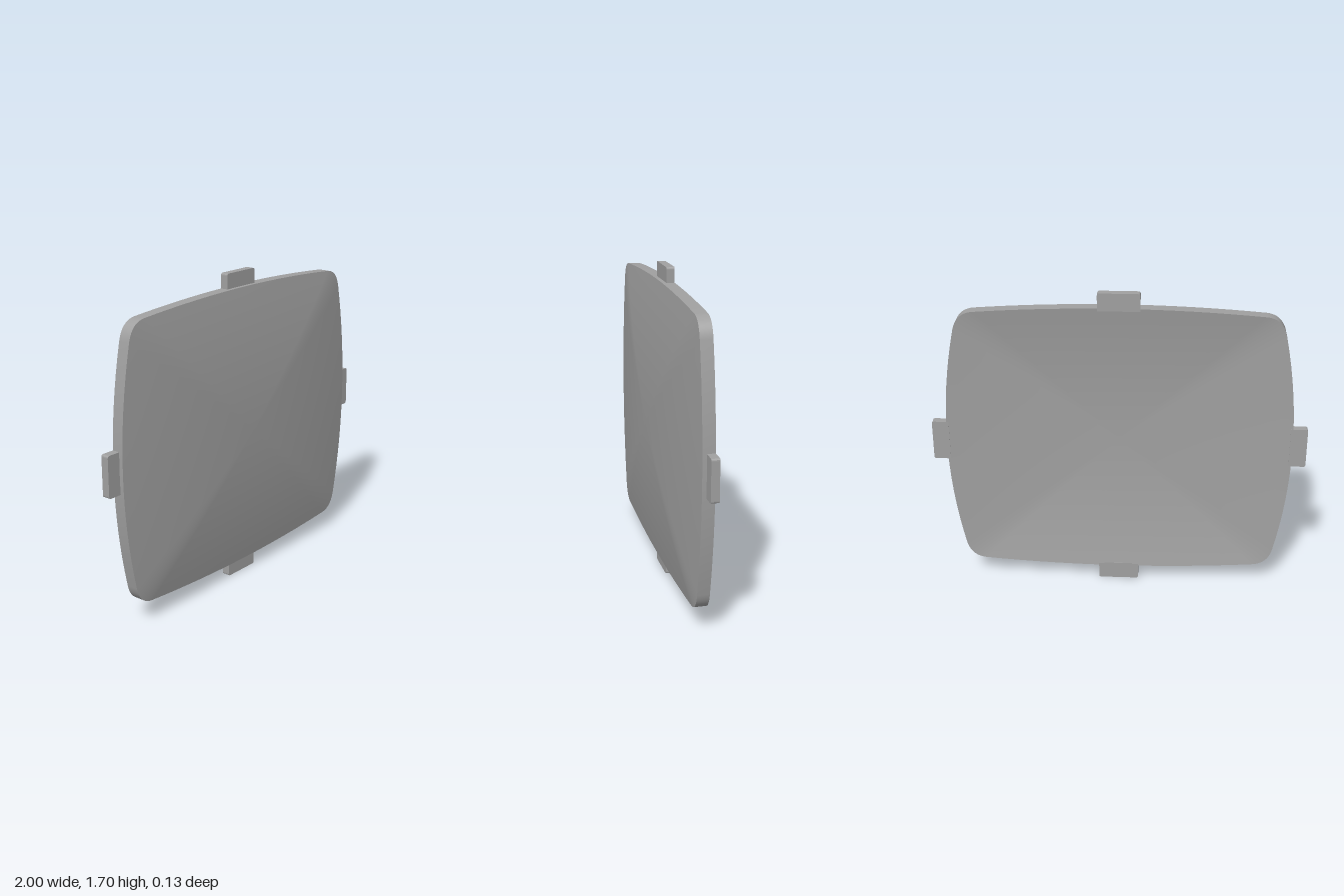
import * as THREE from 'three';

const CENTER_Y = 0.85;
const DEPTH = 0.065; // rim thickness, and also the height of the bulge

// Bulging rectangle with softened corners, counter-clockwise
function panelOutline() {
  const s = new THREE.Shape();
  s.moveTo(0.855, -0.636);
  s.quadraticCurveTo(0.995, 0, 0.855, 0.636);
  s.quadraticCurveTo(0.834, 0.731, 0.749, 0.739);
  s.quadraticCurveTo(0, 0.801, -0.749, 0.739);
  s.quadraticCurveTo(-0.834, 0.731, -0.855, 0.636);
  s.quadraticCurveTo(-0.995, 0, -0.855, -0.636);
  s.quadraticCurveTo(-0.834, -0.731, -0.749, -0.739);
  s.quadraticCurveTo(0, -0.801, 0.749, -0.739);
  s.quadraticCurveTo(0.834, -0.731, 0.855, -0.636);
  return s.getPoints(16).slice(0, -1);
}

// Joins a list of { scale, z } rings of the outline into a smooth surface
function ringSurface(outline, rings, flip) {
  const pos = [], index = [], n = outline.length;
  for (const { scale, z } of rings) {
    for (const p of outline) pos.push(p.x * scale, p.y * scale, z);
  }
  for (let r = 0; r < rings.length - 1; r++) {
    for (let i = 0; i < n; i++) {
      const j = (i + 1) % n;
      const a = r * n + i, b = r * n + j, c = a + n, d = b + n;
      const tris = [[a, c, d]];
      if (rings[r].scale > 0) tris.push([a, d, b]);
      for (const [u, v, w] of tris) index.push(...(flip ? [u, w, v] : [u, v, w]));
    }
  }
  const g = new THREE.BufferGeometry();
  g.setAttribute('position', new THREE.Float32BufferAttribute(pos, 3));
  g.setIndex(index);
  g.computeVertexNormals();
  return g;
}

// Shallow dome profile whose edge lies at edgeZ
function domeRings(edgeZ) {
  return Array.from({ length: 17 }, (_, k) => {
    const scale = k / 16;
    return { scale, z: edgeZ + DEPTH * (1 - scale * scale) };
  });
}

// Mounting tab pointing up, from its root to its tip, with softened outer corners
function tabGeometry(root, tip) {
  const w = 0.11, r = 0.012;
  const s = new THREE.Shape();
  s.moveTo(-w, root);
  s.lineTo(w, root);
  s.lineTo(w, tip - r);
  s.quadraticCurveTo(w, tip, w - r, tip);
  s.lineTo(-w + r, tip);
  s.quadraticCurveTo(-w, tip, -w, tip - r);
  s.closePath();
  return new THREE.ExtrudeGeometry(s, { depth: 0.043, bevelEnabled: false, curveSegments: 4 });
}

export function createModel() {
  const model = new THREE.Group();
  model.name = 'domedPanel';
  const grey = new THREE.MeshStandardMaterial({ color: 0xa0a0a0 });
  grey.name = 'grey';

  const add = (name, geometry) => {
    const mesh = new THREE.Mesh(geometry, grey);
    mesh.name = name;
    mesh.position.y = CENTER_Y;
    model.add(mesh);
    return mesh;
  };

  // Domed front, hollow back and the straight rim between them
  const outline = panelOutline();
  add('frontFace', ringSurface(outline, domeRings(0), false));
  add('backFace', ringSurface(outline, domeRings(-DEPTH), true));
  add('rim', ringSurface(outline, [{ scale: 1, z: 0 }, { scale: 1, z: -DEPTH }], false));

  // One tab in the middle of each edge, flush with the back
  const tabs = [
    ['topTab', 0, 0.755, 0.85],
    ['rightTab', -Math.PI / 2, 0.91, 1],
    ['bottomTab', Math.PI, 0.755, 0.85],
    ['leftTab', Math.PI / 2, 0.91, 1],
  ];
  for (const [name, turn, root, tip] of tabs) {
    const tab = add(name, tabGeometry(root, tip));
    tab.rotation.z = -turn;
    if (name === 'rightTab') tab.rotation.z = Math.PI / 2;
    if (name === 'leftTab') tab.rotation.z = -Math.PI / 2;
    tab.position.z = -DEPTH;
  }
  return model;
}
